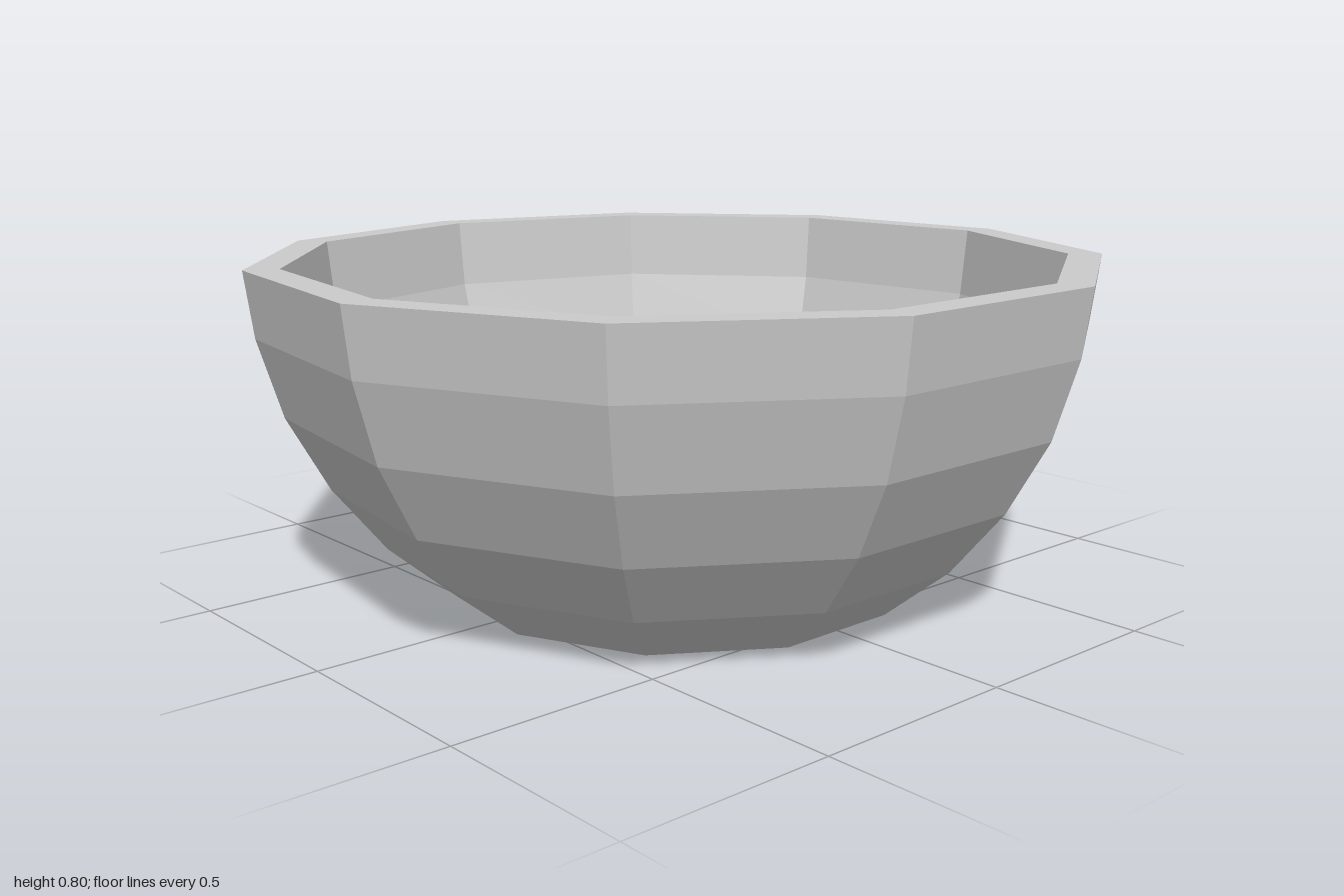
import * as THREE from 'three';

const SIDES = 11;

export function createModel() {
  const group = new THREE.Group();
  group.name = 'bowl';
  const material = new THREE.MeshStandardMaterial({ color: 0xcccccc, flatShading: true });

  // Profiles as [radius, height], revolved in eleven flat facets
  const outer = [[0, 0], [0.56, 0], [0.716, 0.13], [0.84, 0.285], [0.935, 0.46], [0.99, 0.645], [1.01, 0.8]];
  const inner = [[0.929, 0.8], [0.911, 0.63], [0.86, 0.45], [0.773, 0.29], [0.66, 0.16], [0.517, 0.06], [0, 0.06]];

  const addShell = (name, profile) => {
    const points = profile.map(([r, y]) => new THREE.Vector2(r, y));
    const mesh = new THREE.Mesh(new THREE.LatheGeometry(points, SIDES, Math.PI), material);
    mesh.name = name;
    mesh.position.z = 0.02; // centres the odd-sided outline
    group.add(mesh);
  };

  addShell('outerWall', outer);
  addShell('rim', [outer.at(-1), inner[0]]);
  addShell('innerWall', inner);
  return group;
}
